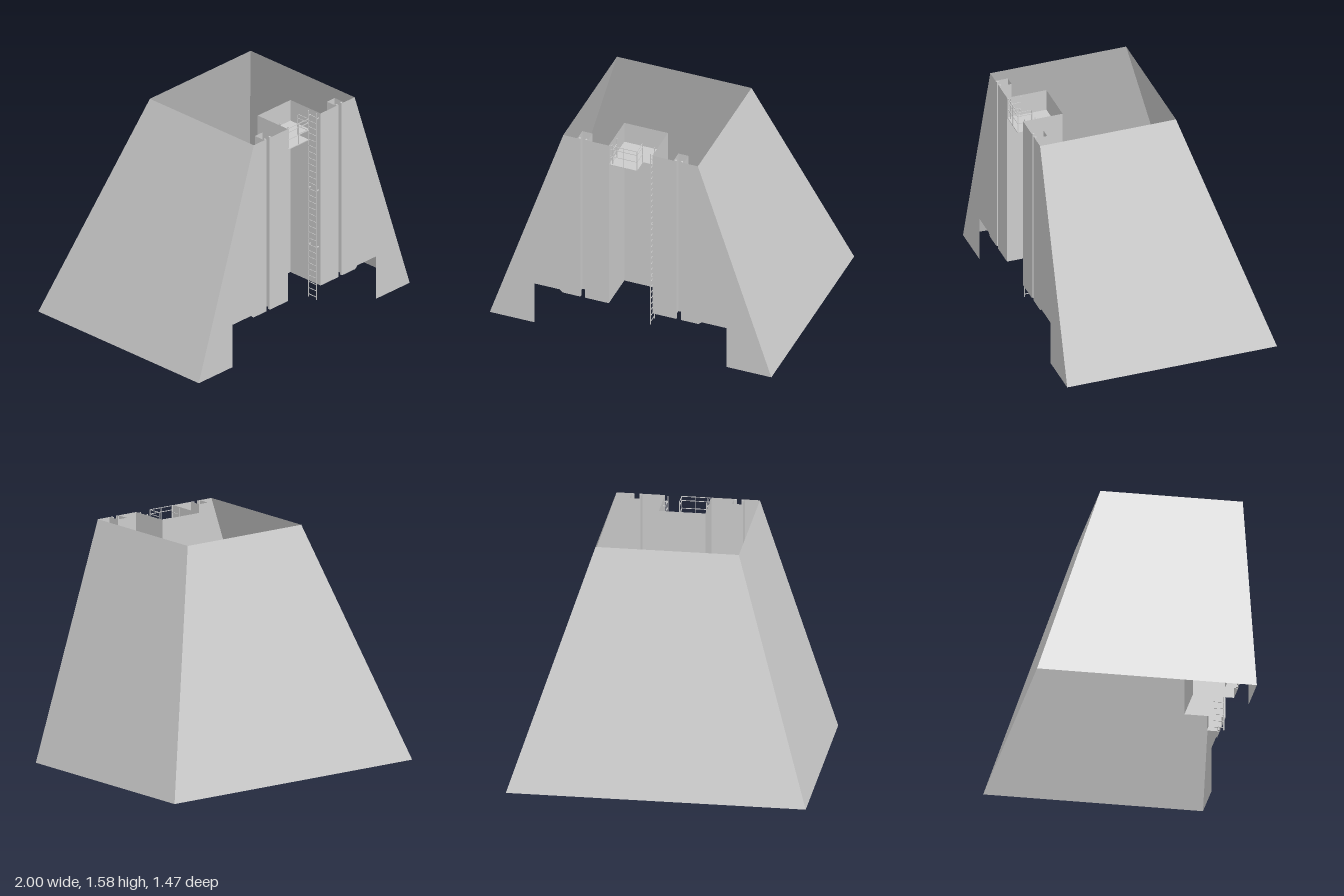
import * as THREE from 'three';

const BASE = 1, TOP = 0.478, H = 1.575, ZF = 0.737, ZB = -0.737, ZT = -0.218;
const SILL = 0.295; // lower edge of the front panels

export function createModel() {
  const root = new THREE.Group();
  root.name = 'slopedTower';
  const concrete = new THREE.MeshStandardMaterial({ color: 0xcccccc, side: THREE.DoubleSide });
  concrete.name = 'light grey';

  const add = (geo, name, parent = root) => {
    const m = new THREE.Mesh(geo, concrete);
    m.name = name;
    parent.add(m);
    return m;
  };

  // flat four-cornered sheet, corners counter-clockwise from outside
  const quad = (name, a, b, c, d) => {
    const g = new THREE.BufferGeometry();
    g.setAttribute('position', new THREE.Float32BufferAttribute([a, b, c, a, c, d].flat(), 3));
    g.computeVertexNormals();
    return add(g, name);
  };

  // vertical sheet in the front plane
  const panel = (name, pts) => {
    const g = new THREE.ShapeGeometry(new THREE.Shape(pts.map(p => new THREE.Vector2(...p))));
    g.translate(0, 0, ZF);
    return add(g, name);
  };

  // vertical sheets following a plan path of [x, z] points
  const fold = (name, path) => {
    for (let i = 0; i + 1 < path.length; i++) {
      const [x0, z0] = path[i], [x1, z1] = path[i + 1];
      quad(name, [x0, SILL, z0], [x1, SILL, z1], [x1, H, z1], [x0, H, z0]);
    }
  };

  // box given by its two opposite corners
  const bar = (name, x0, y0, z0, x1, y1, z1, parent = root) => {
    const g = new THREE.BoxGeometry(x1 - x0, y1 - y0, z1 - z0);
    g.translate((x0 + x1) / 2, (y0 + y1) / 2, (z0 + z1) / 2);
    return add(g, name, parent);
  };

  // sloping back and side walls, open above and below
  quad('backWall', [BASE, 0, ZB], [-BASE, 0, ZB], [-TOP, H, ZT], [TOP, H, ZT]);
  quad('leftWall', [BASE, 0, ZF], [BASE, 0, ZB], [TOP, H, ZT], [TOP, H, ZF]);
  quad('rightWall', [-BASE, 0, ZB], [-BASE, 0, ZF], [-TOP, H, ZF], [-TOP, H, ZT]);

  for (const s of [1, -1]) {
    // front wall beside the doorway, then the strip between slot and recess
    panel('outerFrontPanel', [
      [0.682, 0], [BASE, 0], [TOP, H], [0.357, H],
      [0.357, SILL], [0.483, SILL], [0.505, 0.315], [0.682, 0.315],
    ].map(([x, y]) => [s * x, y]));
    panel('innerFrontPanel', [[0.155, SILL], [0.325, SILL], [0.325, H], [0.155, H]].map(([x, y]) => [s * x, y]));

    // guide channel behind each slot, with slim bars at its lips
    fold('guideChannel', [[0.378, ZF], [0.378, 0.65], [0.305, 0.65], [0.305, ZF]].map(([x, z]) => [s * x, z]));
    for (const x of [0.363, 0.318]) {
      bar('guideBar', s * x - 0.006, SILL, 0.72, s * x + 0.006, H, 0.733);
    }
  }

  // central recess
  fold('recessWall', [[-0.155, ZF], [-0.155, 0.46], [0.155, 0.46], [0.155, ZF]]);

  // platform with a notch for the ladder
  const deck = new THREE.Shape([
    [-0.155, -0.735], [0.045, -0.735], [0.045, -0.63], [0.155, -0.63], [0.155, -0.46], [-0.155, -0.46],
  ].map(p => new THREE.Vector2(...p)));
  const deckGeo = new THREE.ExtrudeGeometry(deck, { depth: 0.006, bevelEnabled: false });
  deckGeo.rotateX(-Math.PI / 2).translate(0, 1.416, 0);
  add(deckGeo, 'platform');

  // railing along the front and the notch
  const railing = new THREE.Group();
  railing.name = 'railing';
  root.add(railing);
  const r = 0.002;
  for (const [x, z] of [[-0.148, 0.733], [-0.05, 0.733], [0.043, 0.733], [0.043, 0.634]]) {
    bar('railingPost', x - r, 1.42, z - r, x + r, 1.576, z + r, railing);
  }
  for (const y of [1.49, 1.545, 1.574]) {
    bar('frontRail', -0.15, y - r, 0.733 - r, 0.045, y + r, 0.733 + r, railing);
    bar('sideRail', 0.043 - r, y - r, 0.632, 0.043 + r, y + r, 0.735, railing);
  }

  // ladders on the recess side walls
  const ladder = (name, s, y0, brackets) => {
    const g = new THREE.Group();
    g.name = name;
    root.add(g);
    const x = s * 0.134, t = 0.003;
    for (const z of [0.647, 0.72]) {
      bar('ladderRail', x - t, y0, z - t, x + t, H, z + t, g);
      for (const y of brackets) {
        bar('ladderBracket', Math.min(x, s * 0.155), y - t, z - t, Math.max(x, s * 0.155), y + t, z + t, g);
      }
    }
    for (let y = y0 + 0.02; y < H; y += 0.046) {
      bar('ladderRung', x - r, y - r, 0.647, x + r, y + r, 0.72, g);
    }
  };
  ladder('longLadder', 1, 0.19, [0.58, 1.0, 1.535]);
  ladder('shortLadder', -1, 1.42, [1.465]);

  return root;
}
